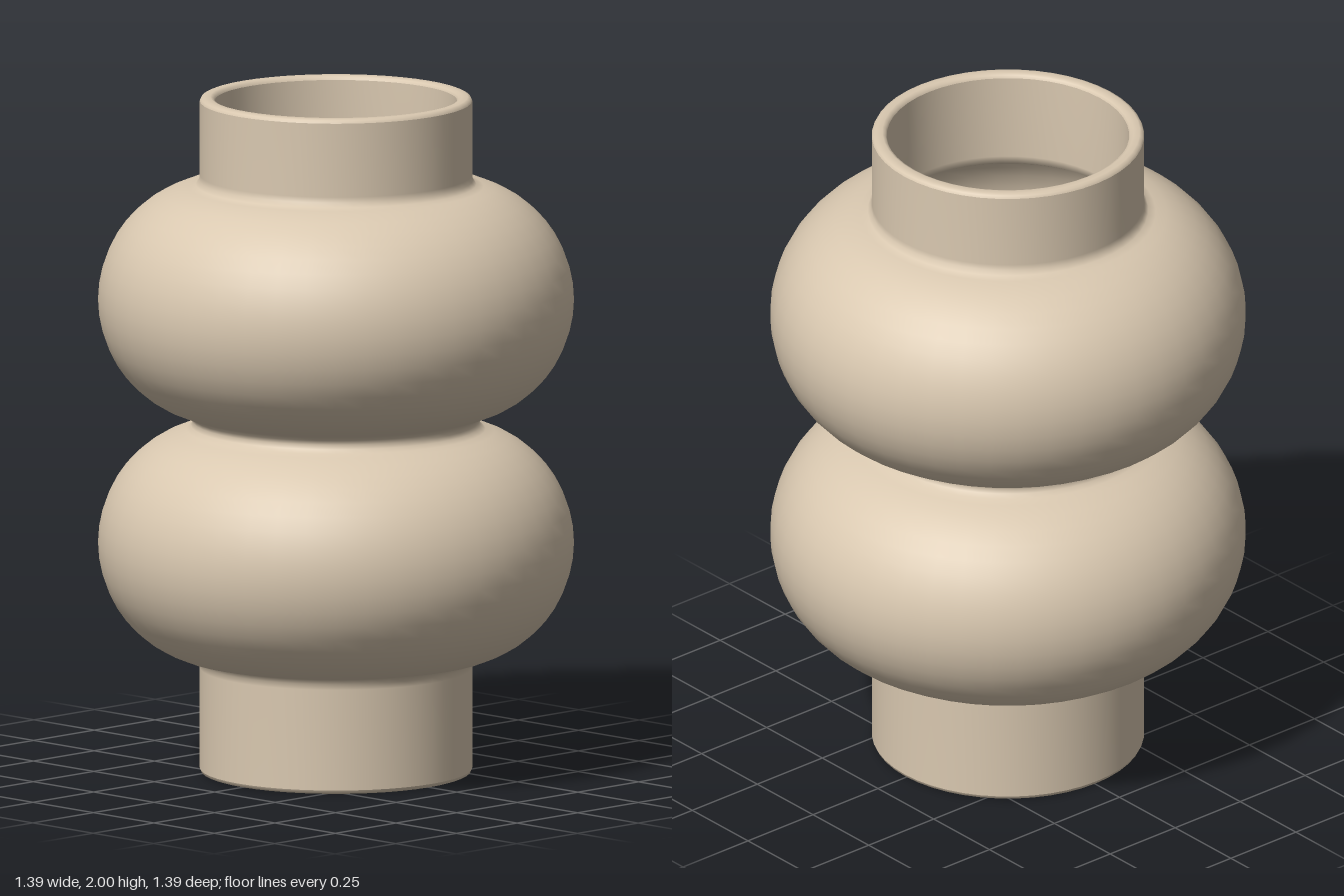
import * as THREE from 'three';

// Points along one rounded bulge, from angle a0 to a1 (degrees)
function bulge(cy, rx, ry, a0, a1, steps = 18) {
  const pts = [];
  for (let i = 0; i <= steps; i++) {
    const a = THREE.MathUtils.degToRad(a0 + ((a1 - a0) * i) / steps);
    pts.push([0.36 + rx * Math.cos(a), cy + ry * Math.sin(a)]);
  }
  return pts;
}

export function createModel() {
  const group = new THREE.Group();
  group.name = 'vase';
  const clay = new THREE.MeshStandardMaterial({ color: 0xd9c8b0 });
  clay.name = 'beige clay';

  const lathe = (name, pts) => {
    const geo = new THREE.LatheGeometry(pts.map(([x, y]) => new THREE.Vector2(x, y)), 48);
    const mesh = new THREE.Mesh(geo, clay);
    mesh.name = name;
    group.add(mesh);
  };

  // Recessed underside and foot ring
  lathe('underside', [[0, 0.025], [0.32, 0.025], [0.335, 0.023], [0.345, 0.014], [0.353, 0.004], [0.362, 0], [0.385, 0], [0.394, 0.003], [0.398, 0.012]]);

  // Outer wall: foot, two bulges with a narrow waist, neck
  lathe('outerWall', [
    [0.398, 0.012], [0.398, 0.02], [0.398, 0.31], [0.4, 0.327], [0.41, 0.341], [0.432, 0.347],
    ...bulge(0.68, 0.335, 0.345, -72, 72),
    [0.437, 1.016], [0.424, 1.027], [0.419, 1.04], [0.424, 1.053], [0.437, 1.064],
    ...bulge(1.4, 0.335, 0.345, -72, 72),
    [0.432, 1.734], [0.41, 1.741], [0.4, 1.754], [0.398, 1.77], [0.398, 1.98], [0.398, 1.988],
  ]);

  // Rounded lip
  lathe('lip', [[0.398, 1.988], [0.394, 1.996], [0.385, 2], [0.367, 2], [0.358, 1.996], [0.354, 1.988]]);

  // Hollow inside following the outer shape
  lathe('innerWall', [
    [0.354, 1.988], [0.354, 1.98], [0.354, 1.73], [0.36, 1.705], [0.38, 1.693],
    ...bulge(1.4, 0.285, 0.295, 76, -76),
    [0.395, 1.085], [0.378, 1.065], [0.372, 1.04], [0.378, 1.015], [0.395, 0.995],
    ...bulge(0.68, 0.285, 0.295, 76, -76),
    [0.38, 0.387], [0.36, 0.375], [0.354, 0.35], [0.354, 0.09], [0.352, 0.075], [0.346, 0.066], [0.335, 0.061], [0.325, 0.06], [0, 0.06],
  ]);

  return group;
}
